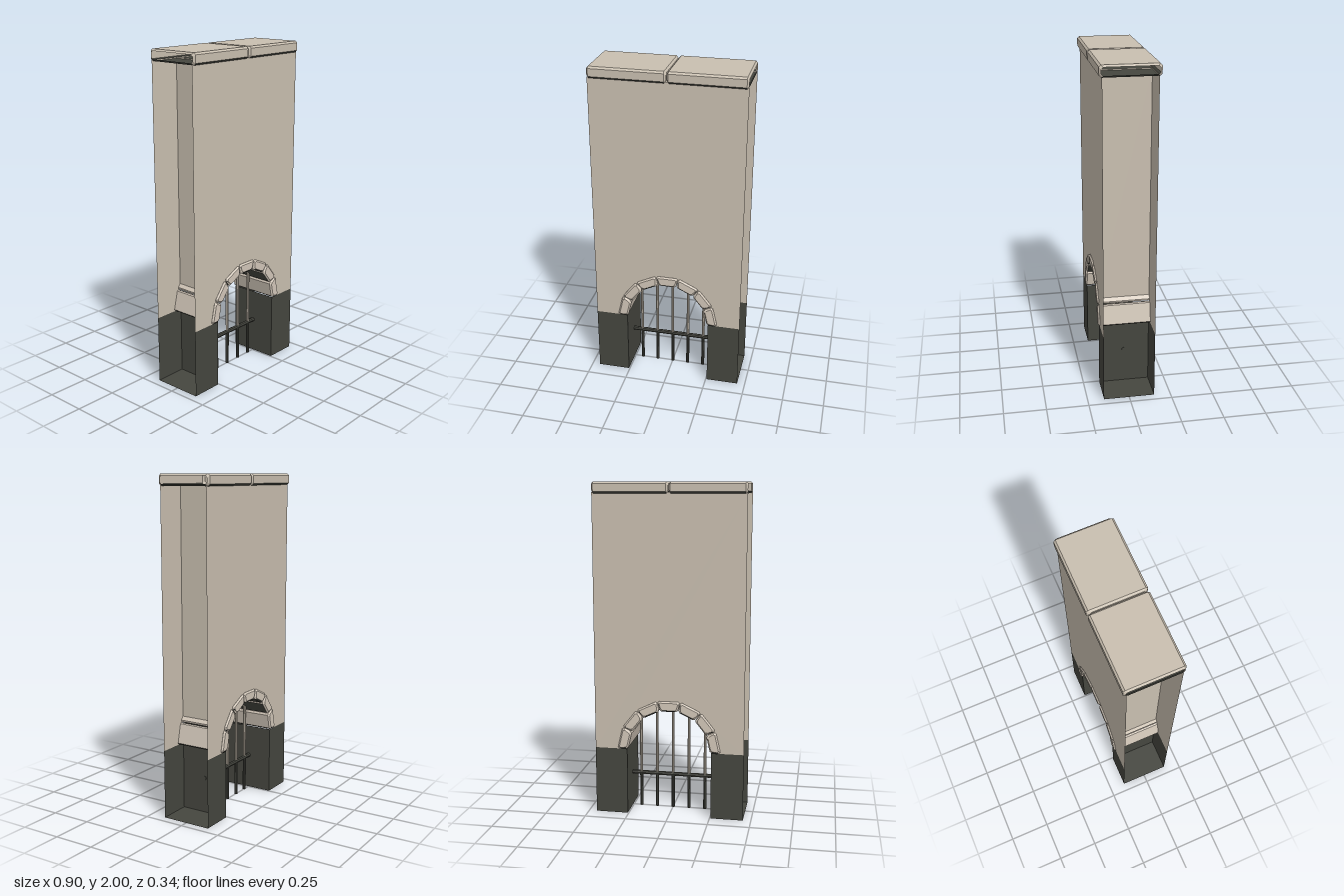
import * as THREE from 'three';

const SPRING = 0.41, WALL_TOP = 1.94, HALF_W = 0.452, HALF_D = 0.152, JAMB = 0.26;

export function createModel() {
  const model = new THREE.Group();
  const material = (name, color) => {
    const m = new THREE.MeshStandardMaterial({ color, side: THREE.DoubleSide, flatShading: true });
    m.name = name;
    return m;
  };
  const plaster = material('plaster', 0xc9bfb0);
  const trim = material('trimStone', 0xd2c7b9);
  const dark = material('darkStone', 0x45463f);

  const add = (name, geometry, mat, x = 0, y = 0, z = 0) => {
    const mesh = new THREE.Mesh(geometry, mat);
    mesh.name = name;
    mesh.position.set(x, y, z);
    model.add(mesh);
    return mesh;
  };

  // Chamfered block: four corners swept along local z; undersides go in material group 1
  function block(corners, w0, w1, c, matrix, openEnd) {
    const v2 = corners.map(p => new THREE.Vector2(...p));
    const mid = v2.reduce((a, p) => a.add(p), new THREE.Vector2()).multiplyScalar(0.25);
    const section = v2.flatMap((p, i) => [v2[(i + 3) % 4], v2[(i + 1) % 4]].map(q =>
      p.clone().add(q.clone().sub(p).setLength(c))));
    const ring = (w, inset) => section.map(p => new THREE.Vector3(
      p.x - Math.sign(p.x - mid.x) * inset, p.y - Math.sign(p.y - mid.y) * inset, w).applyMatrix4(matrix));
    const rings = [ring(w0, c), ring(w0 + c, 0), ring(w1 - c, 0), ring(w1, c)];
    const centre = new THREE.Vector3(mid.x, mid.y, (w0 + w1) / 2).applyMatrix4(matrix);
    const groups = [[], []];
    const tri = (a, b, d) => {
      const n = b.clone().sub(a).cross(d.clone().sub(a)).normalize();
      const out = a.clone().add(b).add(d).divideScalar(3).sub(centre);
      if (n.dot(out) < 0) { [b, d] = [d, b]; n.negate(); }
      groups[n.y < -0.6 ? 1 : 0].push(a, b, d);
    };
    for (let r = 0; r < 3; r++) for (let i = 0; i < 8; i++) {
      const j = (i + 1) % 8;
      tri(rings[r][i], rings[r][j], rings[r + 1][j]);
      tri(rings[r][i], rings[r + 1][j], rings[r + 1][i]);
    }
    for (const end of openEnd ? [rings[0]] : [rings[0], rings[3]])
      for (let i = 1; i < 7; i++) tri(end[0], end[i], end[i + 1]);
    const g = new THREE.BufferGeometry().setFromPoints(groups.flat());
    g.addGroup(0, groups[0].length, 0);
    g.addGroup(groups[0].length, groups[1].length, 1);
    g.computeVertexNormals();
    return g;
  }

  // Front and back wall faces with the arch cut out
  const R = 0.295;
  const face = new THREE.Shape();
  face.moveTo(-HALF_W, SPRING);
  face.lineTo(-R, SPRING);
  for (let i = 1; i <= 14; i++) {
    const a = Math.PI * (1 - i / 14);
    face.lineTo(R * Math.cos(a), SPRING + R * Math.sin(a));
  }
  face.lineTo(HALF_W, SPRING);
  face.lineTo(HALF_W, WALL_TOP);
  face.lineTo(-HALF_W, WALL_TOP);
  const faceGeometry = new THREE.ShapeGeometry(face);
  add('frontWall', faceGeometry, plaster, 0, 0, HALF_D);
  add('backWall', faceGeometry, plaster, 0, 0, -HALF_D).rotation.y = Math.PI;

  for (const s of [-1, 1]) {
    const side = s > 0 ? 'left' : 'right';

    // Recessed wall inside the open end
    const y0 = 0.57;
    add(side + 'RecessWall', new THREE.PlaneGeometry(HALF_D * 2, WALL_TOP - y0), plaster,
      s * JAMB, (y0 + WALL_TOP) / 2, 0).rotation.y = s * Math.PI / 2;

    // Plinth, open at its outer end
    const w = HALF_W - JAMB + 0.004, cx = s * (HALF_W - w / 2);
    const plate = new THREE.PlaneGeometry(w, SPRING);
    add(side + 'PlinthFront', plate, dark, cx, SPRING / 2, HALF_D);
    add(side + 'PlinthBack', plate, dark, cx, SPRING / 2, -HALF_D).rotation.y = Math.PI;
    add(side + 'PlinthJamb', new THREE.PlaneGeometry(HALF_D * 2, SPRING), dark,
      s * (HALF_W - w), SPRING / 2, 0).rotation.y = -s * Math.PI / 2;
    add(side + 'PlinthBottom', new THREE.PlaneGeometry(w, HALF_D * 2), dark, cx, 0, 0).rotation.x = Math.PI / 2;

    // Coping slab, open at its outer end
    const d = 0.168, low = 1.933;
    add(side + 'Coping', block([[-d, low], [d, low], [d, 2], [-d, 2]], 0.002, HALF_W, 0.011,
      new THREE.Matrix4().makeRotationY(s * Math.PI / 2), true), [plaster, dark]);
  }

  // Seven arch stones running through the full depth
  const half = Math.PI / 14 - 0.008, ri = 0.25, ro = 0.314;
  const [si, co] = [Math.sin(half), Math.cos(half)];
  for (let i = 0; i < 7; i++) {
    const m = new THREE.Matrix4().makeTranslation(0, SPRING, 0)
      .multiply(new THREE.Matrix4().makeRotationZ((i - 3) * Math.PI / 7));
    add('archStone', block([[-ri * si, ri * co], [ri * si, ri * co], [ro * si, ro * co], [-ro * si, ro * co]],
      -0.162, 0.162, 0.009, m, false), [trim, dark]);
  }

  // Grille: pale bars above the crossbar, dark below
  const barY = 0.215;
  for (let i = -2; i <= 2; i++) {
    const x = i * 0.1, top = SPRING + Math.sqrt(0.25 ** 2 - x * x);
    add('upperBar', new THREE.CylinderGeometry(0.009, 0.009, top - barY, 8), plaster, x, (top + barY) / 2, 0);
    add('lowerBar', new THREE.CylinderGeometry(0.01, 0.01, barY, 8), dark, x, barY / 2, 0);
  }
  add('crossbar', new THREE.CylinderGeometry(0.013, 0.013, JAMB * 2, 8), dark, 0, barY, 0).rotation.z = Math.PI / 2;

  return model;
}
